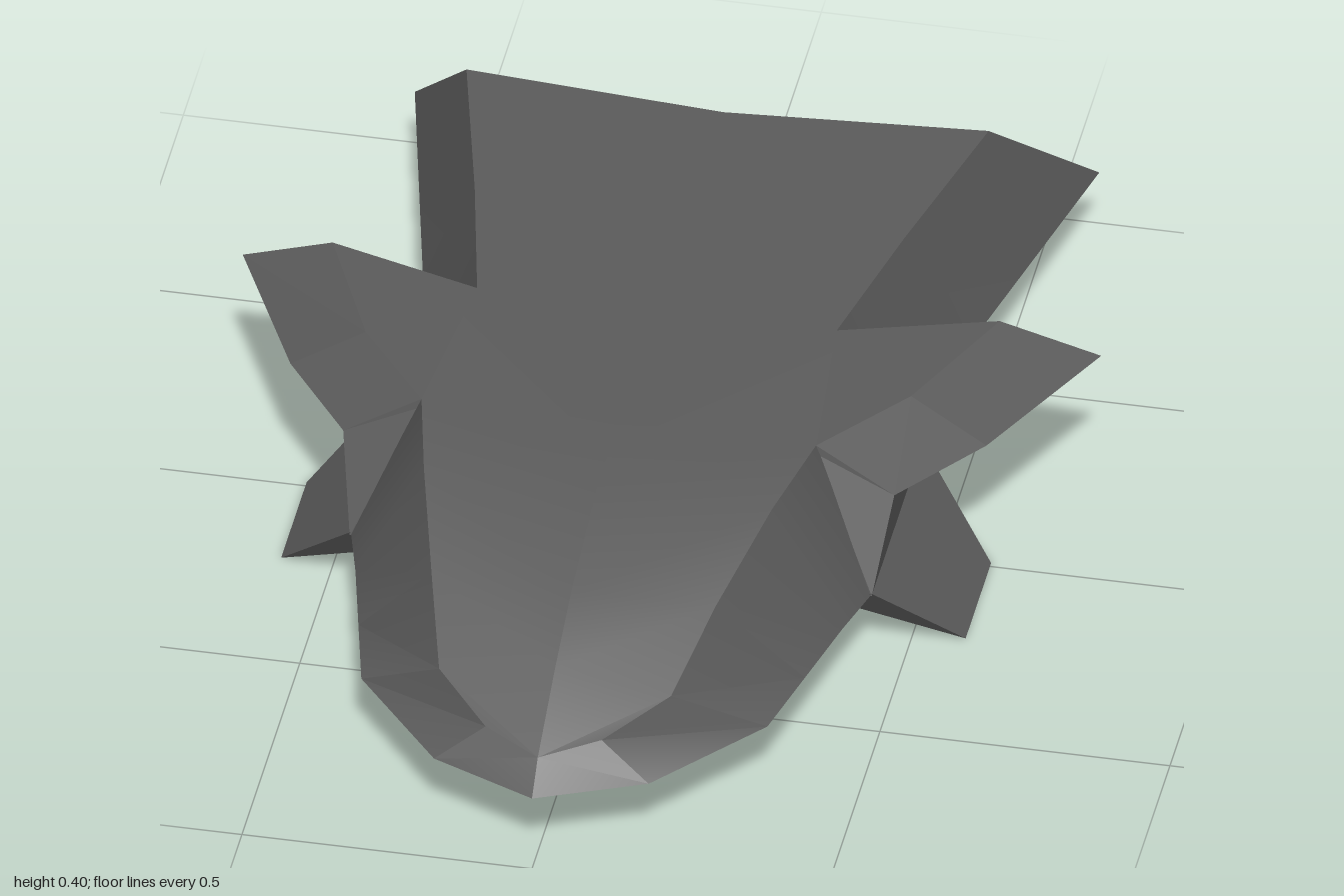
import * as THREE from 'three';
import { toCreasedNormals } from 'three/addons/utils/BufferGeometryUtils.js';
import { ConvexGeometry } from 'three/addons/geometries/ConvexGeometry.js';

const grey = new THREE.MeshStandardMaterial({ color: 0x5b5b5b, side: THREE.DoubleSide });
grey.name = 'hullGrey';
const teal = new THREE.MeshStandardMaterial({ color: 0x2acfd8, side: THREE.DoubleSide });
teal.name = 'glowTeal';

// Hull stations from nose to stern: deck centre [y, z], deck crease, lower edge, rim height
const stations = [
  [[0.20, 0.95], [0, 0.20, 0.95], [0, 0.15, 1.0], 0.125],
  [[0.20, 0.95], [0.1, 0.215, 0.90], [0.185, 0.15, 0.92], 0.118],
  [[0.28, 0.80], [0.2, 0.25, 0.80], [0.35, 0.15, 0.72], 0.115],
  [[0.34, 0.66], [0.245, 0.33, 0.64], [0.385, 0.15, 0.57], 0.11],
  [[0.40, 0.43], [0.3, 0.39, 0.43], [0.42, 0.15, 0.42], 0.1],
  [[0.40, 0.25], [0.34, 0.40, 0.25], [0.45, 0.15, 0.31], 0.095],
  [[0.40, -0.08], [0.31, 0.40, -0.08], [0.41, 0.15, -0.10], 0.09],
  [[0.40, -0.35], [0.37, 0.40, -0.36], [0.48, 0.15, -0.46], 0.08],
  [[0.40, -0.655], [0.45, 0.40, -0.69], [0.59, 0.15, -0.945], 0.13],
  [[0.15, -0.905], [0.4, 0.15, -0.905], [0.4, 0.15, -0.905], 0.13],
  [[0.15, -0.905], [0, 0.15, -0.905], [0, 0.15, -0.905], 0.13],
];

// Lofts one half of the hull: deck, side, outer rim, inner rim, recessed floor
function hullHalf(side) {
  const positions = [], index = [];
  for (const [c, k, e, rim] of stations) {
    const ring = [
      [0, ...c], k, e,
      [e[0] * 0.9, rim, e[2] * 0.95],
      [e[0] * 0.83, 0.14, e[2] * 0.91],
      [0, 0.14, e[2] * 0.91],
    ];
    for (const [x, y, z] of ring) positions.push(x * side, y, z);
  }
  const n = 6;
  for (let i = 0; i < stations.length - 1; i++) {
    for (let j = 0; j < n - 1; j++) {
      const a = i * n + j, b = a + 1, c = b + n, d = a + n;
      if (side > 0) index.push(a, b, c, a, c, d);
      else index.push(a, c, b, a, d, c);
    }
  }
  const geo = new THREE.BufferGeometry();
  geo.setAttribute('position', new THREE.Float32BufferAttribute(positions, 3));
  geo.setIndex(index);
  return toCreasedNormals(geo, 0.42);
}

// Faceted solid around a few corner points
function solid(name, points, material, side = 1) {
  const geo = new ConvexGeometry(points.map(([x, y, z]) => new THREE.Vector3(x * side, y, z)));
  const mesh = new THREE.Mesh(geo, material);
  mesh.name = name;
  return mesh;
}

// Solid of equal section on both sides of the centre line
const bothSides = (points) => points.flatMap(([x, y, z]) => [[x, y, z], [-x, y, z]]);

function turned(name, profile, material) {
  const geo = new THREE.LatheGeometry(profile.map(([r, y]) => new THREE.Vector2(r, y)), 10);
  const mesh = new THREE.Mesh(toCreasedNormals(geo, 0.3), material);
  mesh.name = name;
  return mesh;
}

export function createModel() {
  const model = new THREE.Group();
  model.name = 'hoverCraft';

  for (const side of [1, -1]) {
    const label = side > 0 ? 'left' : 'right';

    const hull = new THREE.Mesh(hullHalf(side), grey);
    hull.name = label + 'Hull';
    model.add(hull);

    // Swept wing with a bevelled outer edge
    model.add(solid(label + 'Wing', [
      [0.34, 0.4, 0.25], [0.47, 0.4, 0.08], [0.575, 0.4, -0.16], [0.31, 0.4, -0.08],
      [0.74, 0.315, -0.21], [0.6, 0.315, 0.08], [0.475, 0.315, 0.25],
      [0.36, 0.315, 0.26], [0.33, 0.315, -0.085],
    ], grey, side));

    // Block under the wing
    model.add(solid(label + 'WingSupport', [
      [0.34, 0.39, 0.25], [0.475, 0.315, 0.25], [0.45, 0.15, 0.32], [0.35, 0.15, 0.3],
      [0.46, 0.315, -0.11], [0.45, 0.15, -0.12], [0.32, 0.315, -0.08], [0.35, 0.15, -0.1],
    ], grey, side));

    // Lower fin, tapering to a knife edge
    model.add(solid(label + 'LowerFin', [
      [0.45, 0.155, 0.32], [0.45, 0.155, -0.12], [0.36, 0.12, 0.3], [0.36, 0.12, -0.1],
      [0.59, 0.003, 0.21], [0.59, 0.003, -0.01],
    ], grey, side));

    // Outward-tilted hover pod
    const pod = new THREE.Group();
    pod.name = label + 'HoverPod';
    pod.add(turned('podHousing', [[0.085, -0.055], [0.122, -0.035], [0.1, 0.01]], grey));
    pod.add(turned('podLens', [
      [0, -0.108], [0.06, -0.102], [0.088, -0.085], [0.112, -0.07], [0.085, -0.045],
    ], teal));
    pod.position.set(0.194 * side, 0.135, 0.56);
    pod.rotation.z = 0.3 * side;
    model.add(pod);
  }

  // Sloping tail flap
  model.add(solid('tailFlap', bothSides([
    [0.4, 0.15, -0.905], [0.3, 0.07, -1.0], [0.3, 0.055, -0.93], [0.36, 0.13, -0.79],
  ]), grey));

  // Glowing strip under the tail
  model.add(solid('tailThruster', bothSides([
    [0.35, 0.06, -0.904], [0.35, 0.012, -0.888], [0.35, 0.03, -0.973], [0.35, 0.055, -0.984],
  ]), teal));

  return model;
}
